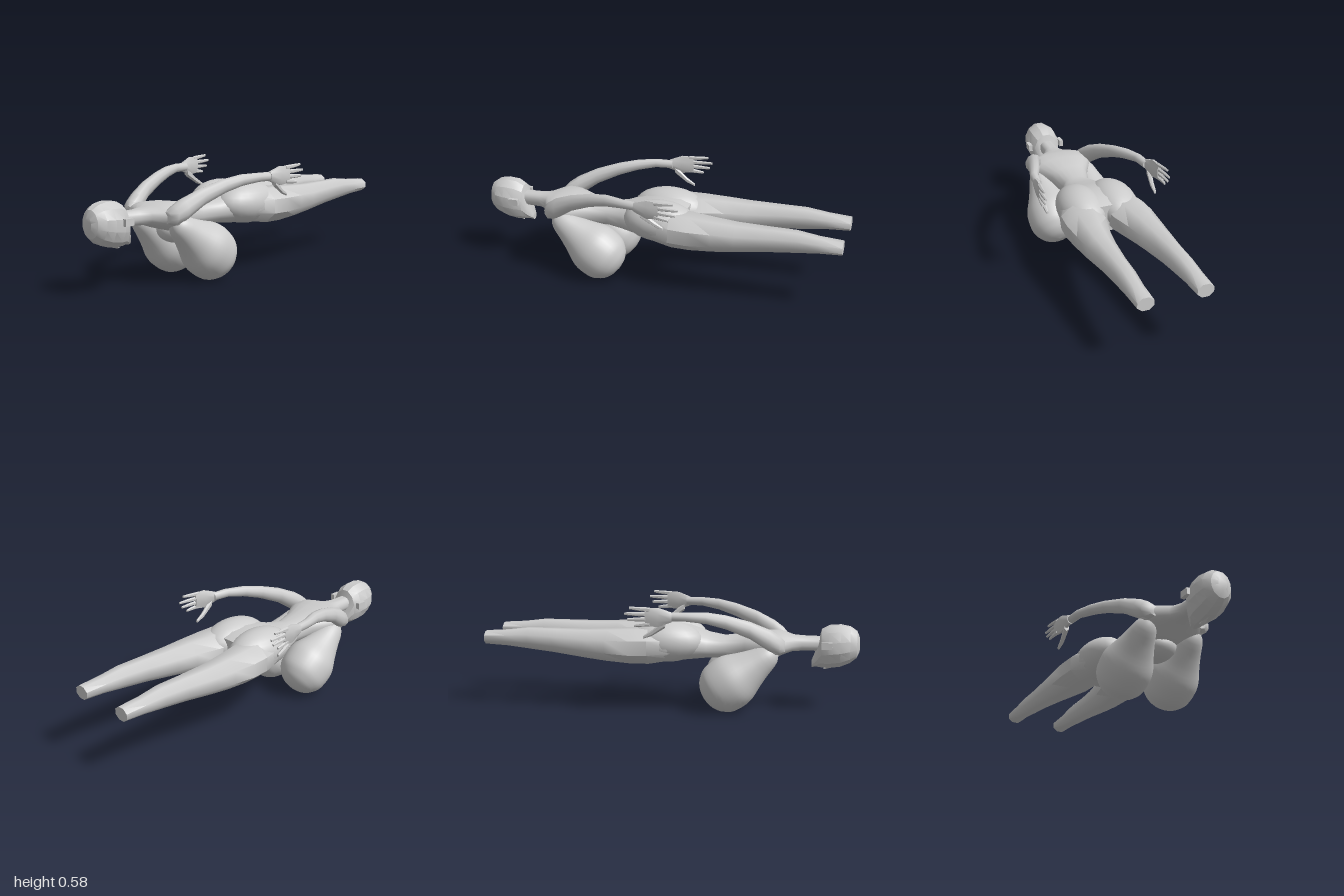
import * as THREE from 'three';
import { toCreasedNormals } from 'three/addons/utils/BufferGeometryUtils.js';

const grey = new THREE.MeshStandardMaterial({ color: 0xcccccc });
grey.name = 'clay grey';

// Closed skin over rounded sections [cx, cy, z, rx, ry], given from back to front;
// a power below 1 makes the sections squarer
function loft(sections, sides, crease = 0.85, power = 1) {
  const pos = [], index = [], grow = 1 / Math.cos(Math.PI / sides) ** power;
  const soft = (v) => Math.sign(v) * Math.abs(v) ** power * grow;
  for (const [cx, cy, z, rx, ry] of sections) {
    for (let j = 0; j < sides; j++) {
      const a = ((j + 0.5) / sides) * Math.PI * 2;
      pos.push(cx + soft(Math.cos(a)) * rx, cy + soft(Math.sin(a)) * ry, z);
    }
  }
  const last = sections.length - 1;
  for (let i = 0; i < last; i++) {
    for (let j = 0; j < sides; j++) {
      const k = (j + 1) % sides, a = i * sides + j, b = i * sides + k;
      index.push(a, b, b + sides, a, b + sides, a + sides);
    }
  }
  for (let j = 1; j < sides - 1; j++) {
    index.push(0, j + 1, j);
    index.push(last * sides, last * sides + j, last * sides + j + 1);
  }
  const g = new THREE.BufferGeometry();
  g.setAttribute('position', new THREE.Float32BufferAttribute(pos, 3));
  g.setIndex(index);
  return toCreasedNormals(g, crease);
}

export function createModel() {
  const root = new THREE.Group();
  root.name = 'figure';
  const add = (name, geometry, parent = root) => {
    const m = new THREE.Mesh(geometry, grey);
    m.name = name;
    parent.add(m);
    return m;
  };
  const blob = (name, x, y, z, rx, ry, rz) => {
    const m = add(name, new THREE.SphereGeometry(1, 24, 16));
    m.position.set(x, y, z);
    m.scale.set(rx, ry, rz);
  };

  // Torso, shoulders and neck
  add('torso', loft([
    [0, 0.35, -0.155, 0.2, 0.075],
    [0, 0.352, -0.1, 0.222, 0.094],
    [0, 0.353, 0, 0.212, 0.102],
    [0, 0.35, 0.1, 0.17, 0.088],
    [0, 0.337, 0.2, 0.122, 0.066],
    [0, 0.33, 0.29, 0.078, 0.06],
    [0, 0.34, 0.4, 0.105, 0.065],
    [0, 0.345, 0.5, 0.16, 0.075],
    [0, 0.355, 0.57, 0.185, 0.064],
    [0, 0.36, 0.61, 0.15, 0.052],
    [0, 0.36, 0.65, 0.075, 0.043],
    [0, 0.36, 0.7, 0.046, 0.04],
    [0, 0.36, 0.84, 0.04, 0.038],
  ], 20, 0.9, 0.85));
  blob('sternum', 0, 0.265, 0.42, 0.1, 0.07, 0.1);

  // Head with tapering jaw, and nose
  add('head', loft([
    [0, 0.25, 0.75, 0.022, 0.018],
    [0, 0.285, 0.775, 0.05, 0.048],
    [0, 0.335, 0.8, 0.074, 0.1],
    [0, 0.345, 0.84, 0.09, 0.112],
    [0, 0.352, 0.9, 0.092, 0.11],
    [0, 0.358, 0.95, 0.082, 0.095],
    [0, 0.36, 0.985, 0.056, 0.07],
    [0, 0.36, 1, 0.025, 0.035],
  ], 12, 0.45));
  add('nose', loft([
    [0, 0.23, 0.815, 0.013, 0.008],
    [0, 0.238, 0.83, 0.011, 0.012],
    [0, 0.25, 0.88, 0.006, 0.01],
  ], 6));

  // Rounded profile shared by both breasts
  const profile = new THREE.SplineCurve([
    [0, -0.143], [0.05, -0.136], [0.086, -0.119], [0.112, -0.095], [0.137, -0.054],
    [0.145, 0.01], [0.138, 0.065], [0.108, 0.135], [0.083, 0.2], [0.052, 0.286], [0, 0.33],
  ].map(([r, t]) => new THREE.Vector2(r, t))).getPoints(32);
  profile.forEach((p) => { p.x = Math.max(p.x, 0); });
  const breastShape = new THREE.LatheGeometry(profile, 32);

  for (const [side, s] of [['left', 1], ['right', -1]]) {
    const part = (name, sections, sides, parent) => add(
      side + name, loft(sections.map(([x, ...rest]) => [x * s, ...rest]), sides), parent);

    const breast = add(side + 'Breast', breastShape);
    breast.position.set(0.138 * s, 0.151, 0.315);
    breast.rotation.x = 0.94;
    breast.scale.x = 0.95;

    blob(side + 'Buttock', 0.095 * s, 0.365, -0.02, 0.122, 0.11, 0.2);
    const ear = add(side + 'Ear', new THREE.BoxGeometry(0.022, 0.036, 0.055));
    ear.position.set(0.097 * s, 0.363, 0.83);

    part('Leg', [
      [0.153, 0.37, -1, 0.043, 0.034],
      [0.153, 0.371, -0.88, 0.045, 0.041],
      [0.151, 0.372, -0.76, 0.052, 0.055],
      [0.15, 0.364, -0.62, 0.059, 0.062],
      [0.148, 0.352, -0.45, 0.076, 0.073],
      [0.142, 0.347, -0.33, 0.09, 0.083],
      [0.13, 0.344, -0.2, 0.11, 0.091],
      [0.125, 0.345, -0.1, 0.108, 0.092],
      [0.115, 0.35, 0.04, 0.08, 0.075],
    ], 8);

    part('Arm', [
      [0.312, 0.528, 0.03, 0.02, 0.022],
      [0.302, 0.529, 0.12, 0.023, 0.023],
      [0.267, 0.52, 0.22, 0.03, 0.029],
      [0.237, 0.496, 0.32, 0.032, 0.035],
      [0.204, 0.452, 0.44, 0.036, 0.043],
      [0.17, 0.395, 0.54, 0.046, 0.055],
      [0.155, 0.37, 0.59, 0.045, 0.046],
      [0.14, 0.362, 0.615, 0.028, 0.028],
    ], 10);

    // Hand: flat palm, four fingers and a thumb
    const hand = new THREE.Group();
    hand.name = side + 'Hand';
    root.add(hand);
    part('Palm', [
      [0.335, 0.53, -0.085, 0.01, 0.045],
      [0.328, 0.527, -0.02, 0.017, 0.049],
      [0.315, 0.527, 0.05, 0.018, 0.024],
    ], 8, hand);
    const tips = [-0.14, -0.175, -0.19, -0.165];
    tips.forEach((tip, i) => {
      const y = 0.494 + i * 0.024, spread = (i - 1.5) * 0.006;
      part('Finger' + (i + 1), [
        [0.344, y + spread, tip, 0.005, 0.006],
        [0.341, y + spread / 2, (tip - 0.07) / 2, 0.008, 0.009],
        [0.334, y, -0.06, 0.009, 0.011],
      ], 6, hand);
    });
    part('Thumb', [
      [0.308, 0.42, -0.1, 0.006, 0.007],
      [0.31, 0.443, -0.055, 0.01, 0.013],
      [0.319, 0.495, 0.015, 0.013, 0.02],
    ], 6, hand);
  }
  return root;
}
